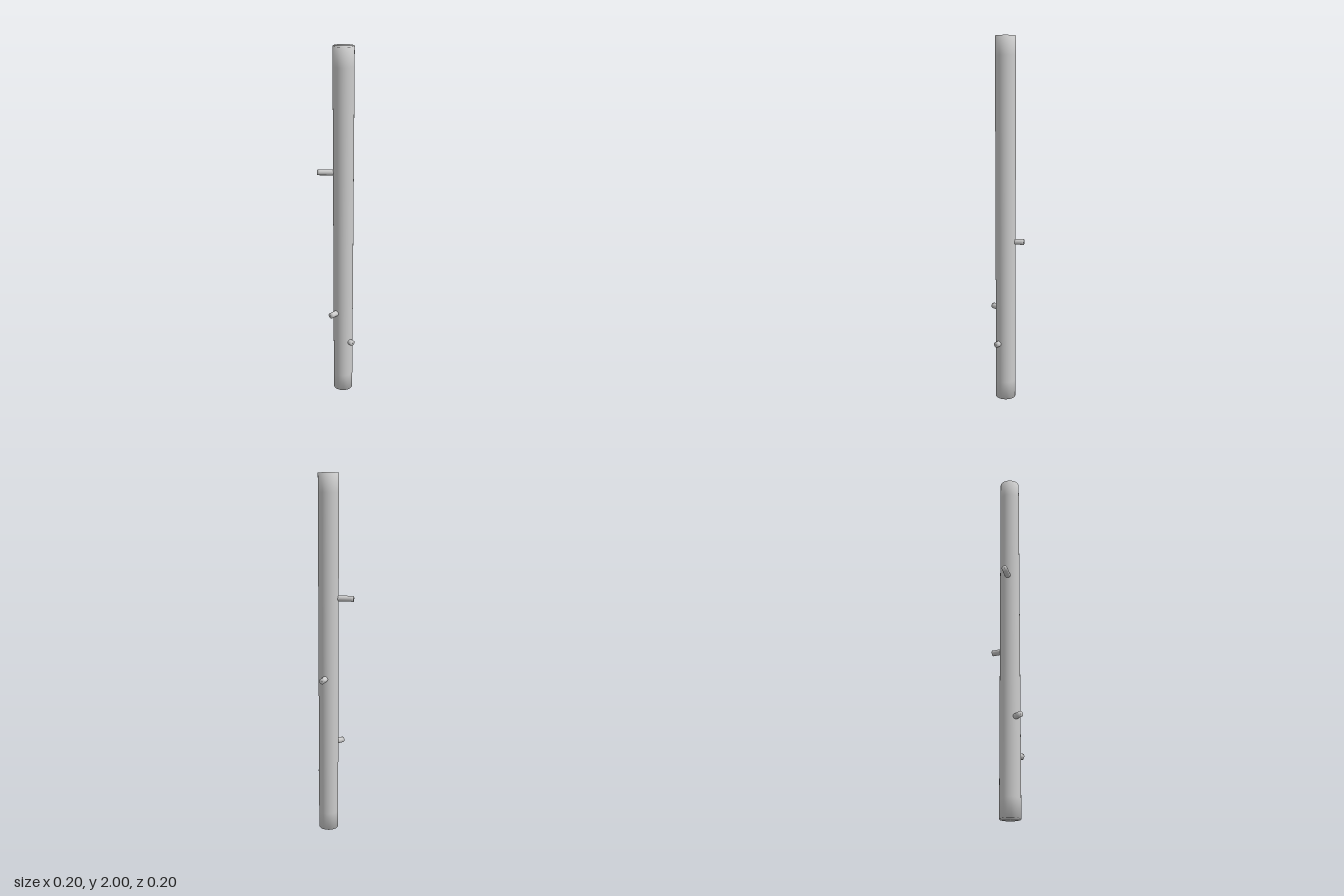
import * as THREE from 'three';

const material = new THREE.MeshStandardMaterial({ color: 0xcccccc });

// Closed rod standing on its base, shaded softly over the end edges
function rod(name, radius, length, band, sides) {
  const profile = [
    [0, 0], [radius, 0], [radius, band],
    [radius, length - band], [radius, length], [0, length],
  ].map(([x, y]) => new THREE.Vector2(x, y));
  const mesh = new THREE.Mesh(new THREE.LatheGeometry(profile, sides), material);
  mesh.name = name;
  return mesh;
}

export function createModel() {
  const group = new THREE.Group();
  group.name = 'peggedPole';
  const axisZ = 0.018;

  // Main pole
  const pole = rod('pole', 0.055, 2, 0.1, 48);
  pole.position.z = axisZ;
  group.add(pole);

  // Pegs radiating from the pole: height and outer end
  const pegs = [
    ['lowerFrontPeg', 0.325, -0.006, 0.095],
    ['lowerRightPeg', 0.515, -0.099, 0.008],
    ['middleLeftPeg', 0.905, 0.09, -0.031],
    ['upperBackPeg', 1.345, -0.087, -0.089],
  ];
  for (const [name, y, x, z] of pegs) {
    const direction = new THREE.Vector3(x, 0, z - axisZ);
    const peg = rod(name, 0.0158, direction.length(), 0.012, 20);
    peg.position.set(0, y, axisZ);
    peg.quaternion.setFromUnitVectors(new THREE.Vector3(0, 1, 0), direction.normalize());
    group.add(peg);
  }
  return group;
}
